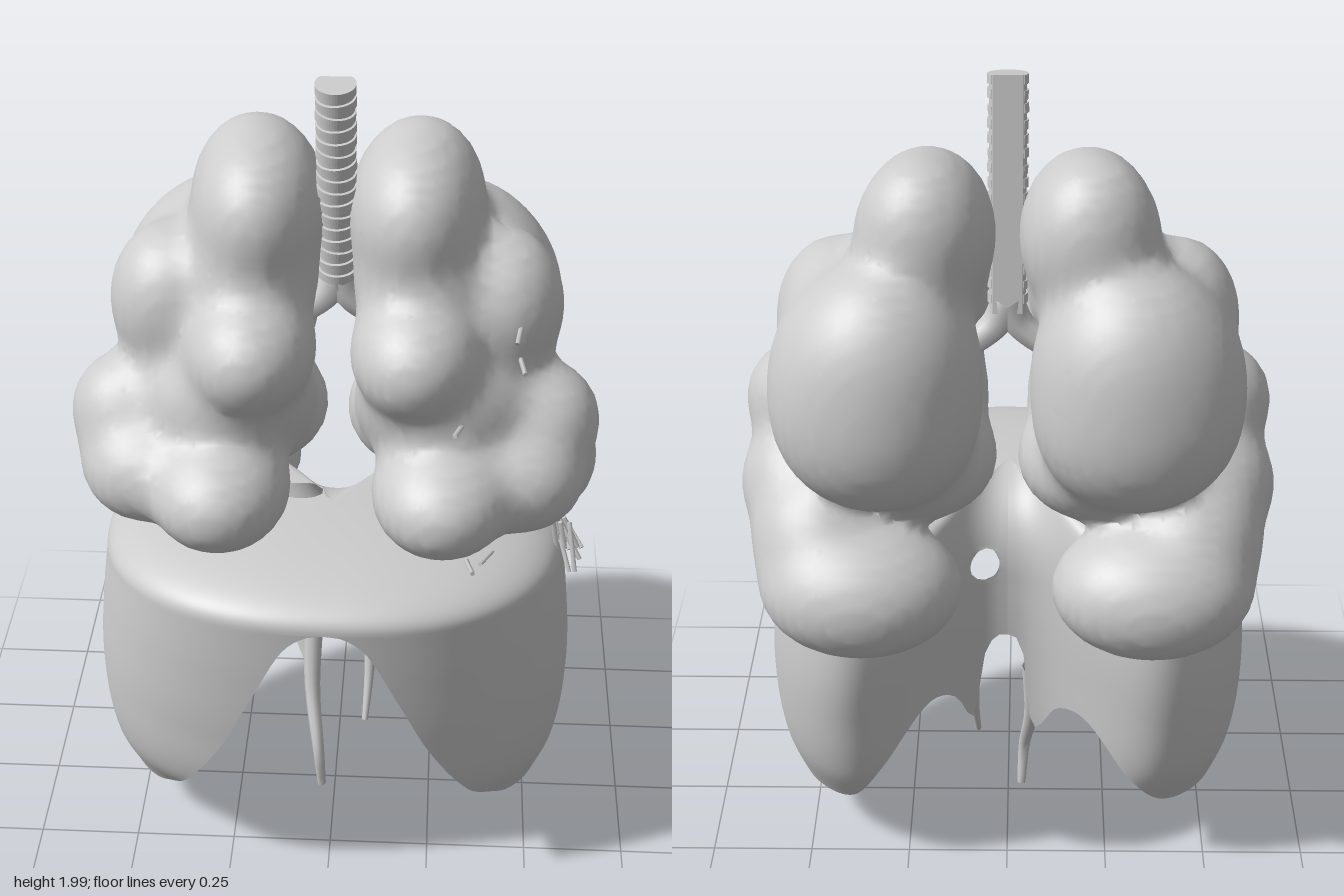
import * as THREE from 'three';

const grey = new THREE.MeshStandardMaterial({ color: 0xcccccc });
grey.name = 'pale grey';
const greyOpen = new THREE.MeshStandardMaterial({ color: 0xcccccc, side: THREE.DoubleSide });
greyOpen.name = 'pale grey sheet';

const V = (x, y, z) => new THREE.Vector3(x, y, z);

function add(parent, name, geometry, material = grey) {
  const mesh = new THREE.Mesh(geometry, material);
  mesh.name = name;
  parent.add(mesh);
  return mesh;
}

// Lobes of one lung as ellipsoids: centre, then radii
const LOBES = [
  [.18, 1.65, -.07, .15, .18, .20],    // apex
  [.19, 1.66, -.16, .14, .18, .13],    // apex back
  [.20, 1.50, -.03, .155, .15, .16],   // neck
  [.28, 1.38, -.25, .225, .26, .22],   // upper back
  [.29, 1.27, -.29, .22, .20, .19],    // upper back base
  [.39, 1.34, -.23, .14, .20, .19],    // upper back side
  [.39, 1.43, -.05, .14, .18, .16],    // upper side
  [.19, 1.38, .10, .15, .14, .19],     // upper front
  [.25, 1.24, .08, .17, .13, .15],     // front core
  [.28, 1.20, .00, .23, .19, .18],     // core
  [.26, 1.065, .20, .165, .135, .20],  // middle front
  [.44, 1.07, .11, .155, .135, .16],   // middle side
  [.50, 1.17, .03, .125, .135, .13],   // middle shoulder
  [.34, .84, -.30, .235, .16, .185],   // lower back
  [.44, .92, -.20, .16, .17, .17],     // lower side back
  [.48, 1.00, -.08, .155, .16, .15],   // lower side
  [.20, 1.10, -.13, .175, .14, .18],   // inner base
];

// Smoothly blended distance to the lobes
function lungDistance(x, y, z) {
  const k = 0.022;
  let sum = 0;
  for (const [cx, cy, cz, rx, ry, rz] of LOBES) {
    const a = (x - cx) / rx, b = (y - cy) / ry, c = (z - cz) / rz;
    const k0 = Math.hypot(a, b, c), k1 = Math.hypot(a / rx, b / ry, c / rz) + 1e-9;
    sum += Math.exp(-Math.max(-.3, k0 * (k0 - 1) / k1) / k);
  }
  return -k * Math.log(sum + 1e-30);
}

// Surface net over a grid: one vertex per crossed cell, one quad per crossed edge
function lungGeometry(side) {
  const h = 0.024, o = [-.06, .6, -.62], n = [34, 57, 48];
  const id = (i, j, k) => (i * n[1] + j) * n[2] + k;
  const stride = [n[1] * n[2], n[2], 1];
  const total = n[0] * n[1] * n[2];
  const d = new Float32Array(total).fill(1), cell = new Int32Array(total).fill(-1);
  const each = (fn) => {
    for (let i = 1; i < n[0] - 1; i++)
      for (let j = 1; j < n[1] - 1; j++)
        for (let k = 1; k < n[2] - 1; k++) fn(i, j, k, id(i, j, k));
  };
  each((i, j, k, p) => { d[p] = lungDistance(o[0] + i * h, o[1] + j * h, o[2] + k * h); });
  const pos = [], index = [];
  each((i, j, k, p) => {
    const sum = [0, 0, 0];
    let count = 0;
    for (let a = 0; a < 3; a++) for (let m = 0; m < 4; m++) {
      const b = (a + 1) % 3, c = (a + 2) % 3, off = [0, 0, 0];
      off[b] = m & 1; off[c] = m >> 1;
      const q = p + off[0] * stride[0] + off[1] * stride[1] + off[2];
      const d0 = d[q], d1 = d[q + stride[a]];
      if ((d0 < 0) === (d1 < 0)) continue;
      off[a] = d0 / (d0 - d1);
      for (let s = 0; s < 3; s++) sum[s] += off[s];
      count++;
    }
    if (!count) return;
    cell[p] = pos.length / 3;
    pos.push(side * (o[0] + (i + sum[0] / count) * h),
      o[1] + (j + sum[1] / count) * h, o[2] + (k + sum[2] / count) * h);
  });
  each((i, j, k, p) => {
    for (let a = 0; a < 3; a++) {
      const inside = d[p] < 0;
      if (inside === (d[p + stride[a]] < 0)) continue;
      const b = stride[(a + 1) % 3], c = stride[(a + 2) % 3];
      const q = [cell[p - b - c], cell[p - c], cell[p], cell[p - b]];
      if (q.some((v) => v < 0)) continue;
      if (inside !== side > 0) q.reverse();
      index.push(q[0], q[1], q[2], q[0], q[2], q[3]);
    }
  });
  const g = new THREE.BufferGeometry();
  g.setAttribute('position', new THREE.Float32BufferAttribute(pos, 3));
  g.setIndex(index);
  g.computeVertexNormals();
  return g;
}

// Smooth curve through [key, value] pairs
function table(rows, t) {
  let i = 0;
  while (i < rows.length - 2 && t > rows[i + 1][0]) i++;
  const [a, b] = [rows[i], rows[i + 1]], h = b[0] - a[0];
  const slope = (k) => {
    const p = rows[Math.max(k - 1, 0)], q = rows[Math.min(k + 1, rows.length - 1)];
    return (q[1] - p[1]) / (q[0] - p[0]) * h;
  };
  const u = THREE.MathUtils.clamp((t - a[0]) / h, 0, 1), w = 1 - u;
  return a[1] * w * w * (1 + 2 * u) + b[1] * u * u * (3 - 2 * u) + slope(i) * u * w * w - slope(i + 1) * u * u * w;
}

// Diaphragm: widths by height, and rim height by angle (0 front, PI back)
const WIDTH = [[.1, .52], [.3, .575], [.5, .59], [.7, .575], [.88, .55]];
const FRONT = [[.1, .26], [.17, .32], [.3, .43], [.5, .47], [.7, .49], [.87, .5]];
const BACK = [[.1, .26], [.17, .33], [.3, .43], [.5, .49], [.65, .51], [.85, .49]];
const RIM_FRONT = [[0, .86], [.06, .85], [.14, .80], [.25, .65], [.38, .475], [.6, .295], [.82, .18],
  [1.0, .135], [1.3, .14], [1.57, .16]];
const RIM_BACK_LEFT = [[0, .57], [.04, .56], [.08, .48], [.1, .34], [.13, .34], [.17, .41], [.25, .45],
  [.33, .43], [.5, .32], [.75, .18], [1.1, .15], [1.57, .16]];
const RIM_BACK_RIGHT = [[0, .57], [.03, .55], [.055, .46], [.07, .3], [.11, .3], [.16, .37], [.25, .4],
  [.33, .38], [.5, .28], [.75, .17], [1.1, .14], [1.57, .16]];

function diaphragmGeometry() {
  const cols = 280, cap = 40, wall = 24, rows = cap + wall, poleZ = .1, topY = .96;
  const pos = [], index = [], inHole = [];
  const outline = (t, y) => {
    const s = Math.sin(t), c = Math.cos(t), e = .87;
    const delta = Math.PI - Math.abs(t);
    const notch = 1 - .8 * Math.exp(-((delta / .42) ** 2));
    const z = c > 0 ? table(FRONT, y) : -table(BACK, y) * notch;
    return [table(WIDTH, y) * Math.sign(s) * Math.abs(s) ** e, z * Math.abs(c) ** e];
  };
  // Pushes a point out to the edge of an oval opening
  const pushOut = (u, v, cu, cv, ru, rv) => {
    const r = Math.hypot((u - cu) / ru, (v - cv) / rv);
    return r < 1 ? [cu + (u - cu) / (r + 1e-6), cv + (v - cv) / (r + 1e-6)] : null;
  };
  for (let i = 0; i <= cols; i++) {
    const t = (i / cols * 2 - 1) * Math.PI, a = Math.abs(t);
    const rim = a < Math.PI / 2 ? table(RIM_FRONT, a)
      : table(t > 0 ? RIM_BACK_LEFT : RIM_BACK_RIGHT, Math.PI - a);
    const shoulder = .79 + .07 * Math.cos(t);
    for (let j = 0; j <= rows; j++) {
      const q = Math.min(j / cap, 1) * Math.PI / 2, s = Math.sin(q);
      let y = j <= cap ? shoulder + (topY - shoulder) * Math.abs(Math.cos(q)) ** .8
        : THREE.MathUtils.lerp(shoulder, Math.min(rim, shoulder), (j - cap) / wall);
      const [ox, oz] = outline(t, Math.min(y, shoulder));
      let x = ox * s, z = poleZ + (oz - poleZ) * s;
      // Openings: large vessel in the dome, gullet in the rear slope
      const dome = y > .88 && pushOut(x, z, -.08, .05, .055, .035);
      const rear = z < .05 && pushOut(x, y, .055, .78, .035, .042);
      if (dome) [x, z] = dome;
      else if (rear) [x, y] = rear;
      inHole.push(Boolean(dome || rear));
      pos.push(x, y, z);
    }
  }
  for (let i = 0; i < cols; i++) for (let j = 0; j < rows; j++) {
    const a = i * (rows + 1) + j, b = a + rows + 1;
    for (const tri of [[a, a + 1, b + 1], [a, b + 1, b]]) {
      if (!tri.every((v) => inHole[v])) index.push(...tri);
    }
  }
  const g = new THREE.BufferGeometry();
  g.setAttribute('position', new THREE.Float32BufferAttribute(pos, 3));
  g.setIndex(index);
  g.computeVertexNormals();
  return g;
}

// Tube that narrows towards its end
function taperedTube(points, r0, r1) {
  const curve = new THREE.CatmullRomCurve3(points), seg = 14, sides = 8;
  const g = new THREE.TubeGeometry(curve, seg, 1, sides);
  const p = g.attributes.position;
  for (let i = 0; i <= seg; i++) {
    const c = curve.getPointAt(i / seg), r = r0 + (r1 - r0) * i / seg;
    for (let j = 0; j <= sides; j++) {
      const k = i * (sides + 1) + j;
      const v = V(0, 0, 0).fromBufferAttribute(p, k).sub(c).multiplyScalar(r).add(c);
      p.setXYZ(k, v.x, v.y, v.z);
    }
  }
  return g;
}

// D-shaped windpipe slice, flat at the back
function windpipeSlice(r, height) {
  const s = new THREE.Shape();
  s.absarc(0, 0, r, -Math.PI * .2, Math.PI * 1.2, false);
  s.closePath();
  return new THREE.ExtrudeGeometry(s, { depth: height, bevelEnabled: false, curveSegments: 16 }).rotateX(Math.PI / 2);
}

export function createModel() {
  const model = new THREE.Group();
  model.name = 'lungsAndDiaphragm';
  for (const [side, name] of [[1, 'leftLung'], [-1, 'rightLung']]) add(model, name, lungGeometry(side));
  add(model, 'diaphragm', diaphragmGeometry(), greyOpen);

  // Tendons hanging from the rear rim
  add(model, 'rightTendon', taperedTube([V(-.062, .46, -.08), V(-.062, .28, -.03), V(-.042, .12, .04), V(-.035, .005, .03)], .026, .011), greyOpen);
  add(model, 'leftTendon', taperedTube([V(.088, .46, -.09), V(.086, .32, -.05), V(.078, .205, 0)], .018, .008), greyOpen);

  // Small vessel inside the diaphragm
  add(model, 'vessel', taperedTube([V(-.46, .15, -.02), V(-.38, .19, -.06), V(-.28, .225, -.1)], .007, .009), greyOpen);
  add(model, 'vesselBranch', taperedTube([V(-.29, .22, -.1), V(-.31, .27, -.08), V(-.37, .3, -.06)], .009, .006), greyOpen);

  // Windpipe with front rings, leaning back towards its lower end
  const windpipe = new THREE.Group();
  windpipe.name = 'windpipe';
  add(windpipe, 'windpipeCore', windpipeSlice(.042, .54));
  for (let i = 0; i < 16; i++) {
    const ring = add(windpipe, 'windpipeRing', windpipeSlice(.046, .021));
    ring.position.set(0, -i * .033, .004);
    ring.rotation.z = Math.sin(i * 2.3) * .07;
  }
  windpipe.position.set(0, 1.99, -.006);
  windpipe.rotation.x = .17;
  model.add(windpipe);
  for (const s of [1, -1]) {
    add(model, 'bronchus', taperedTube([V(0, 1.48, -.09), V(s * .03, 1.42, -.09), V(s * .12, 1.35, -.1)], .038, .03), greyOpen);
  }

  // Fine airway twigs poking out of the left lung
  let seed = 7;
  const rnd = (a, b) => {
    seed = (seed * 16807) % 2147483647;
    return a + (b - a) * seed / 2147483647;
  };
  const twig = (x, y, z, dx, dy, dz) => {
    const end = V(dx, dy, dz), m = add(model, 'airwayTwig', new THREE.CylinderGeometry(.006, .006, end.length(), 5));
    m.position.set(x, y, z).addScaledVector(end, .5);
    m.quaternion.setFromUnitVectors(V(0, 1, 0), end.normalize());
  };
  for (let i = 0; i < 24; i++) {
    const t = rnd(0, 1);
    twig(rnd(.5, .57), .95 - t * .16, .14 - t * .28, rnd(0, .06), rnd(-.13, -.05), rnd(-.06, .08));
  }
  for (const [x, y, z] of [[.32, .95, .31], [.38, .95, .27], [.3, 1.26, .22], [.43, 1.37, .1], [.43, 1.46, .08]]) {
    twig(x, y, z, rnd(-.03, .04), rnd(-.04, .01), .06);
  }
  return model;
}
